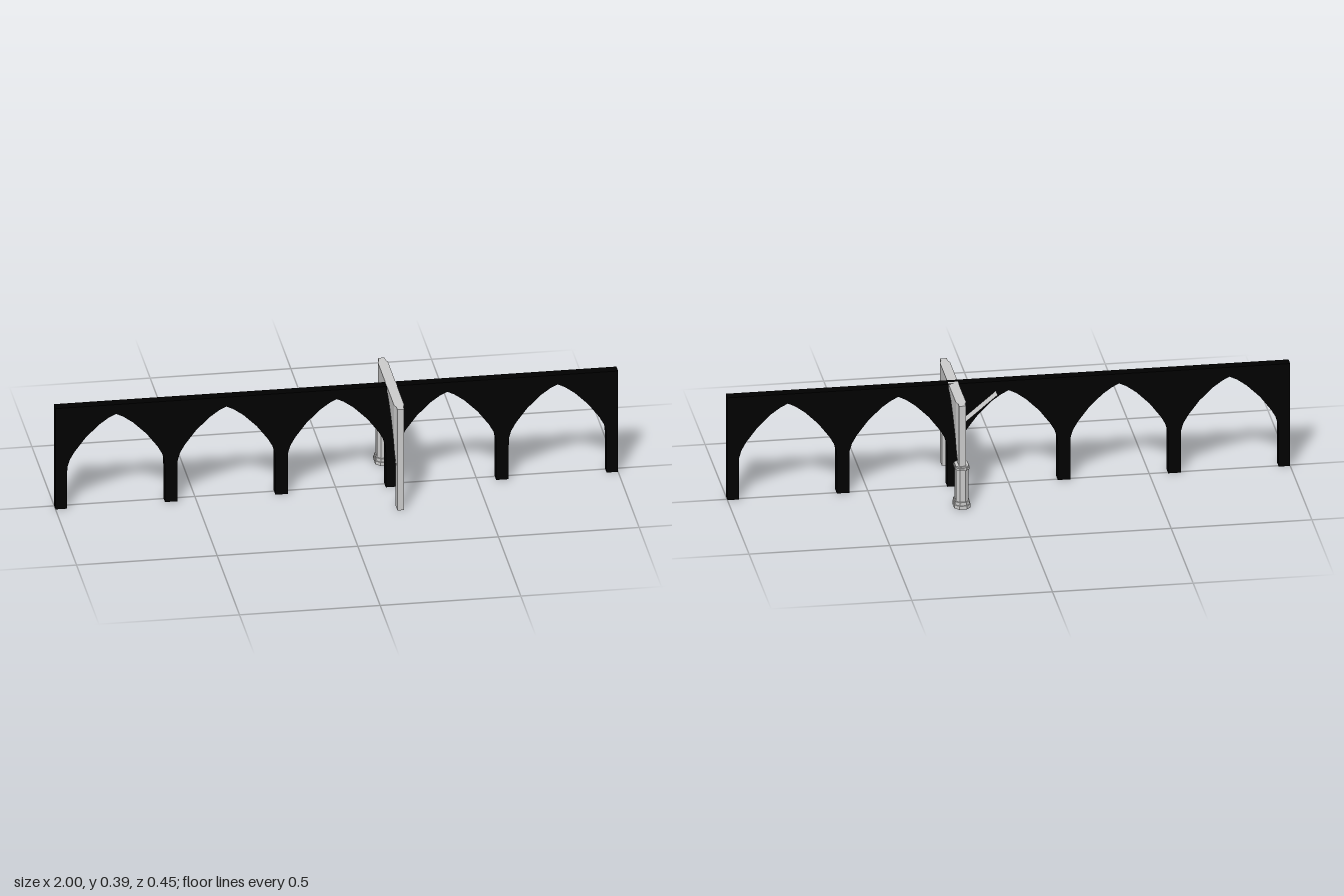
import * as THREE from 'three';

const TOP = 0.39;
const grey = new THREE.MeshStandardMaterial({ color: 0xcccccc, flatShading: true, side: THREE.DoubleSide });
const black = new THREE.MeshStandardMaterial({ color: 0x000000, flatShading: true });

// half of the pointed opening, from springing to crown, and the upper edge of its rib
const inner = [[0.173, 0.16], [0.165, 0.187], [0.148, 0.217], [0.108, 0.27], [0.06, 0.317], [0.025, 0.342], [0, 0.354]];
const outer = [[0.181, 0.225], [0.17, 0.245], [0.155, 0.265], [0.115, 0.308], [0.065, 0.35], [0.025, 0.371], [0, 0.375]];
const mirror = (half) => [...half, ...half.slice(0, -1).reverse().map(([u, y]) => [-u, y])];

function mesh(name, geometry, material = grey) {
  const m = new THREE.Mesh(geometry, material);
  m.name = name;
  return m;
}

// wall with pointed openings at the given centres, open to the ground
function archWall(centres, halfLength, depth) {
  const s = new THREE.Shape();
  s.moveTo(-halfLength, TOP);
  s.lineTo(-halfLength, 0);
  const curve = mirror([[0.174, 0], [0.174, 0.13], ...inner]);
  for (const c of centres) for (const [u, y] of curve) s.lineTo(c - u, y);
  s.lineTo(halfLength, 0);
  s.lineTo(halfLength, TOP);
  return new THREE.ExtrudeGeometry(s, { depth, bevelEnabled: false }).translate(0, 0, -depth / 2);
}

// raised spandrel panel with chamfered ends and a chamfered arch rib, lofted along u
function raisedPanel(a, b) {
  const end = (u) => [[u, 0.16, a], [u, 0.16, a], [u, TOP, a], [u, TOP, -a], [u, 0.16, -a], [u, 0.16, -a]];
  const inn = mirror(inner), out = mirror(outer);
  const columns = [end(0.198)];
  inn.forEach(([u, y], i) => {
    const [v, w] = out[i];
    columns.push([[u, y, a], [v, w, b], [v, TOP, b], [v, TOP, -b], [v, w, -b], [u, y, -a]]);
  });
  columns.push(end(-0.198));
  const n = 6, index = [];
  for (let i = 0; i < columns.length - 1; i++) {
    for (let j = 0; j < n; j++) {
      const p = i * n + j, q = i * n + (j + 1) % n;
      index.push(p, p + n, q, q, p + n, q + n);
    }
  }
  let g = new THREE.BufferGeometry();
  g.setAttribute('position', new THREE.Float32BufferAttribute(columns.flat(2), 3));
  g.setIndex(index);
  // columns run from +u to -u, so wind the faces outward
  for (let k = 0; k < index.length; k += 3) [index[k + 1], index[k + 2]] = [index[k + 2], index[k + 1]];
  g.setIndex(index);
  g = g.toNonIndexed();
  g.computeVertexNormals();
  return g;
}

// upright block with an eight-sided plan
function octBlock(w, d, y0, y1) {
  const x = w / 2, z = d / 2, c = w * 0.28;
  const s = new THREE.Shape([[x, -z + c], [x, z - c], [x - c, z], [-x + c, z], [-x, z - c], [-x, -z + c], [-x + c, -z], [x - c, -z]]
    .map((p) => new THREE.Vector2(...p)));
  return new THREE.ExtrudeGeometry(s, { depth: y1 - y0, bevelEnabled: false }).rotateX(-Math.PI / 2).translate(0, y0, 0);
}

export function createModel() {
  const model = new THREE.Group();

  // long row of five arches
  const pitch = 0.3925;
  const arcade = mesh('arcade', archWall([-2, -1, 0, 1, 2].map((i) => i * pitch), 1, 0.038), black);
  arcade.position.z = 0.011;
  model.add(arcade);

  // single arch crossing the row
  const cross = new THREE.Group();
  cross.name = 'crossArch';
  cross.add(mesh('crossWall', archWall([0], 0.2185, 0.024)));
  cross.add(mesh('crossSpandrelAndRib', raisedPanel(0.0122, 0.018)));
  cross.rotation.y = -Math.PI / 2;
  cross.position.set(0.196, 0, 0.0085);
  model.add(cross);

  // moulded pedestal round the rear leg
  const pedestal = new THREE.Group();
  pedestal.name = 'pedestal';
  const tiers = [
    ['plinth', 0.058, 0.08, 0.002, 0.015],
    ['baseMoulding', 0.052, 0.072, 0.015, 0.027],
    ['shaft', 0.044, 0.062, 0.027, 0.148],
    ['capital', 0.052, 0.072, 0.148, 0.156],
    ['capitalTop', 0.047, 0.066, 0.156, 0.161],
  ];
  for (const [name, ...size] of tiers) pedestal.add(mesh(name, octBlock(...size)));
  pedestal.position.set(0.196, 0, -0.185);
  model.add(pedestal);

  // thin sloping plate behind the row
  const rise = 0.1, run = 0.12;
  const plate = mesh('slopingPlate', new THREE.PlaneGeometry(Math.hypot(rise, run), 0.04).rotateX(-Math.PI / 2));
  plate.rotation.z = -Math.atan2(rise, run);
  plate.position.set(0.108, 0.31, -0.04);
  model.add(plate);

  return model;
}
